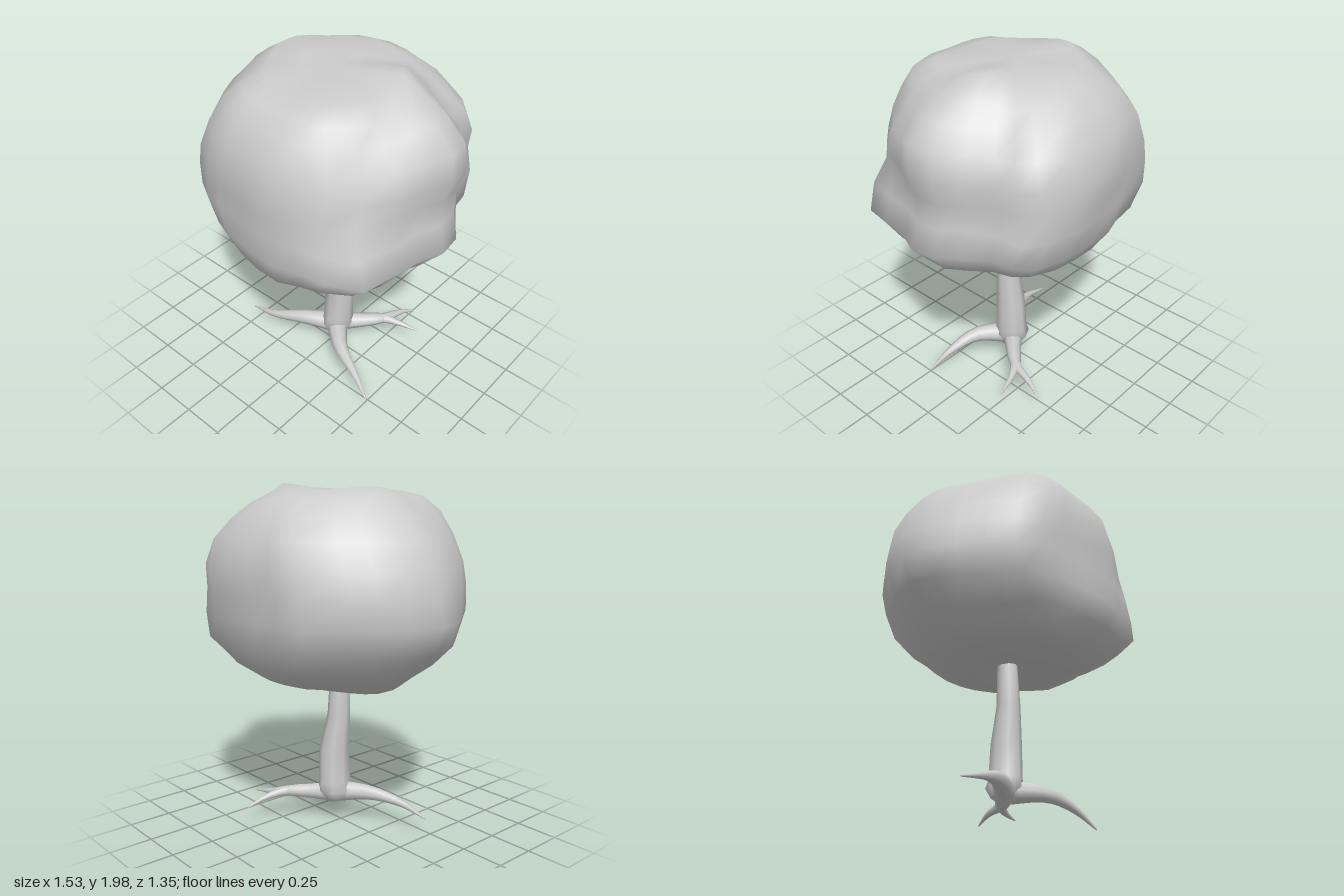
import * as THREE from 'three';

const material = new THREE.MeshStandardMaterial({ color: 0xcccccc });

// Smooth closed skin over a stack of equal-sized rings
function loft(name, rings) {
  const n = rings[0].length, pos = [], index = [];
  rings.flat().forEach(p => pos.push(p.x, p.y, p.z));
  for (let i = 0; i < rings.length - 1; i++) {
    for (let j = 0; j < n; j++) {
      const a = i * n + j, b = i * n + (j + 1) % n;
      index.push(a, a + n, b, b, a + n, b + n);
    }
  }
  // Close both ends with a fan
  [0, rings.length - 1].forEach((r, end) => {
    const c = new THREE.Vector3();
    rings[r].forEach(p => c.addScaledVector(p, 1 / n));
    const centre = pos.length / 3;
    pos.push(c.x, c.y, c.z);
    for (let j = 0; j < n; j++) {
      const a = r * n + j, b = r * n + (j + 1) % n;
      if (end) index.push(centre, b, a);
      else index.push(centre, a, b);
    }
  });
  const g = new THREE.BufferGeometry();
  g.setAttribute('position', new THREE.Float32BufferAttribute(pos, 3));
  g.setIndex(index);
  g.computeVertexNormals();
  const mesh = new THREE.Mesh(g, material);
  mesh.name = name;
  return mesh;
}

// Fit an outline (-1..1) into each row of [y, xMin, xMax, zMin, zMax]
function layers(outline, rows) {
  return rows.map(([y, x0, x1, z0, z1]) => outline.map(([u, v]) => new THREE.Vector3(
    (x0 + x1) / 2 + u * (x1 - x0) / 2, y, (z0 + z1) / 2 + v * (z1 - z0) / 2)));
}

// Tapering, bending root
function root(name, points, r0, r1) {
  const curve = new THREE.CatmullRomCurve3(points.map(p => new THREE.Vector3(...p)));
  const rings = [], up = new THREE.Vector3(0, 1, 0);
  for (let i = 0; i <= 10; i++) {
    const t = i / 10, c = curve.getPoint(t), tangent = curve.getTangent(t);
    const side = new THREE.Vector3().crossVectors(tangent, up).normalize();
    const lift = new THREE.Vector3().crossVectors(side, tangent);
    const r = r0 + (r1 - r0) * Math.pow(t, 0.85);
    rings.push(Array.from({ length: 8 }, (_, j) => {
      const a = j / 8 * Math.PI * 2;
      return c.clone().addScaledVector(side, r * Math.cos(a)).addScaledVector(lift, r * Math.sin(a));
    }));
  }
  return loft(name, rings);
}

// Rounded bump or dent that fades with distance
const bump = (p, x, y, z, size) =>
  Math.exp(-((p.x - x) ** 2 + (p.y - y) ** 2 + (p.z - z) ** 2) / (size * size));

function canopy() {
  const plan = [
    [-0.06, -0.68], [0.13, -0.68], [0.31, -0.67], [0.48, -0.61], [0.57, -0.53], [0.60, -0.40],
    [0.69, -0.27], [0.77, -0.15], [0.77, 0], [0.73, 0.12], [0.71, 0.32], [0.62, 0.49],
    [0.47, 0.62], [0.32, 0.65], [0.16, 0.68], [-0.03, 0.665], [-0.21, 0.65], [-0.33, 0.62],
    [-0.46, 0.55], [-0.55, 0.41], [-0.64, 0.27], [-0.72, 0.14], [-0.77, 0], [-0.72, -0.18],
    [-0.64, -0.31], [-0.55, -0.44], [-0.36, -0.60], [-0.20, -0.63],
  ].map(([x, z]) => [x / 0.77, z / 0.68]);
  const rings = layers(plan, [
    [0.89, -0.15, 0.16, -0.10, 0.22],
    [0.86, -0.34, 0.34, -0.26, 0.42],
    [0.92, -0.45, 0.49, -0.42, 0.50],
    [1.00, -0.57, 0.64, -0.54, 0.61],
    [1.13, -0.72, 0.76, -0.63, 0.65],
    [1.28, -0.77, 0.71, -0.655, 0.655],
    [1.42, -0.75, 0.705, -0.67, 0.66],
    [1.55, -0.73, 0.76, -0.68, 0.67],
    [1.70, -0.65, 0.74, -0.65, 0.64],
    [1.82, -0.54, 0.64, -0.57, 0.57],
    [1.90, -0.43, 0.52, -0.47, 0.49],
    [1.94, -0.35, 0.40, -0.35, 0.36],
    [1.945, -0.16, 0.20, -0.18, 0.18],
  ]);
  const middle = new THREE.Vector3(0, 1.4, 0);
  rings.flat().forEach(p => {
    const q = p.clone();
    // Gentle lumps over the whole crown
    const lump = 0.01 * Math.sin(9 * q.x + 4 * q.y) * Math.sin(8 * q.y + 5 * q.z)
      + 0.007 * Math.sin(13 * q.z - 7 * q.x);
    // Hollowed upper corners above swollen lower ones
    const dent = 0.1 * bump(q, 0.5, 1.76, -0.45, 0.25) + 0.15 * bump(q, 0.53, 1.68, 0.44, 0.26)
      + 0.04 * bump(q, 0.7, 1.18, 0.25, 0.12);
    const swell = 0.05 * bump(q, 0.55, 1.3, -0.5, 0.15) + 0.05 * bump(q, 0.6, 1.26, 0.47, 0.15)
      - 0.03 * bump(q, 0.57, 1.1, -0.47, 0.12);
    p.addScaledVector(q.clone().sub(middle).normalize(), lump + swell - dent);
    // Peaks on top, hanging lobe below
    p.y += 0.06 * bump(q, 0.33, 1.93, -0.09, 0.13) + 0.03 * bump(q, -0.33, 1.93, -0.16, 0.18)
      - 0.02 * bump(q, 0, 0.86, 0.38, 0.15);
  });
  return loft('canopy', rings);
}

export function createModel() {
  const tree = new THREE.Group();
  tree.name = 'tree';
  tree.add(canopy());

  // Trunk flares at its base and leans slightly
  const octagon = Array.from({ length: 8 }, (_, i) =>
    [Math.cos(i * Math.PI / 4), Math.sin(i * Math.PI / 4)]);
  tree.add(loft('trunk', layers(octagon, [
    [0.11, 0.02, 0.08, -0.05, 0.02],
    [0.135, -0.04, 0.11, -0.08, 0.06],
    [0.19, -0.06, 0.14, -0.12, 0.10],
    [0.24, -0.04, 0.13, -0.11, 0.09],
    [0.44, -0.03, 0.135, -0.10, 0.08],
    [0.65, -0.025, 0.105, -0.05, 0.088],
    [0.95, -0.02, 0.08, -0.04, 0.08],
  ])));

  tree.add(root('rightRoot', [[0.04, 0.17, 0], [-0.14, 0.18, 0.11], [-0.32, 0.15, 0.19], [-0.5, 0.11, 0.2]], 0.07, 0.004));
  tree.add(root('frontRoot', [[0.04, 0.17, 0], [0.2, 0.16, 0.15], [0.36, 0.1, 0.21], [0.49, 0.005, 0.255]], 0.07, 0.005));
  // Back root forks in two near its end
  const backStem = [[0.04, 0.17, -0.02], [0.14, 0.165, -0.11], [0.24, 0.165, -0.22]];
  tree.add(root('backRootInnerFork', [...backStem, [0.28, 0.145, -0.36], [0.31, 0.1, -0.46]], 0.065, 0.004));
  tree.add(root('backRootOuterFork', [...backStem, [0.34, 0.145, -0.27], [0.45, 0.13, -0.3]], 0.065, 0.004));
  return tree;
}
